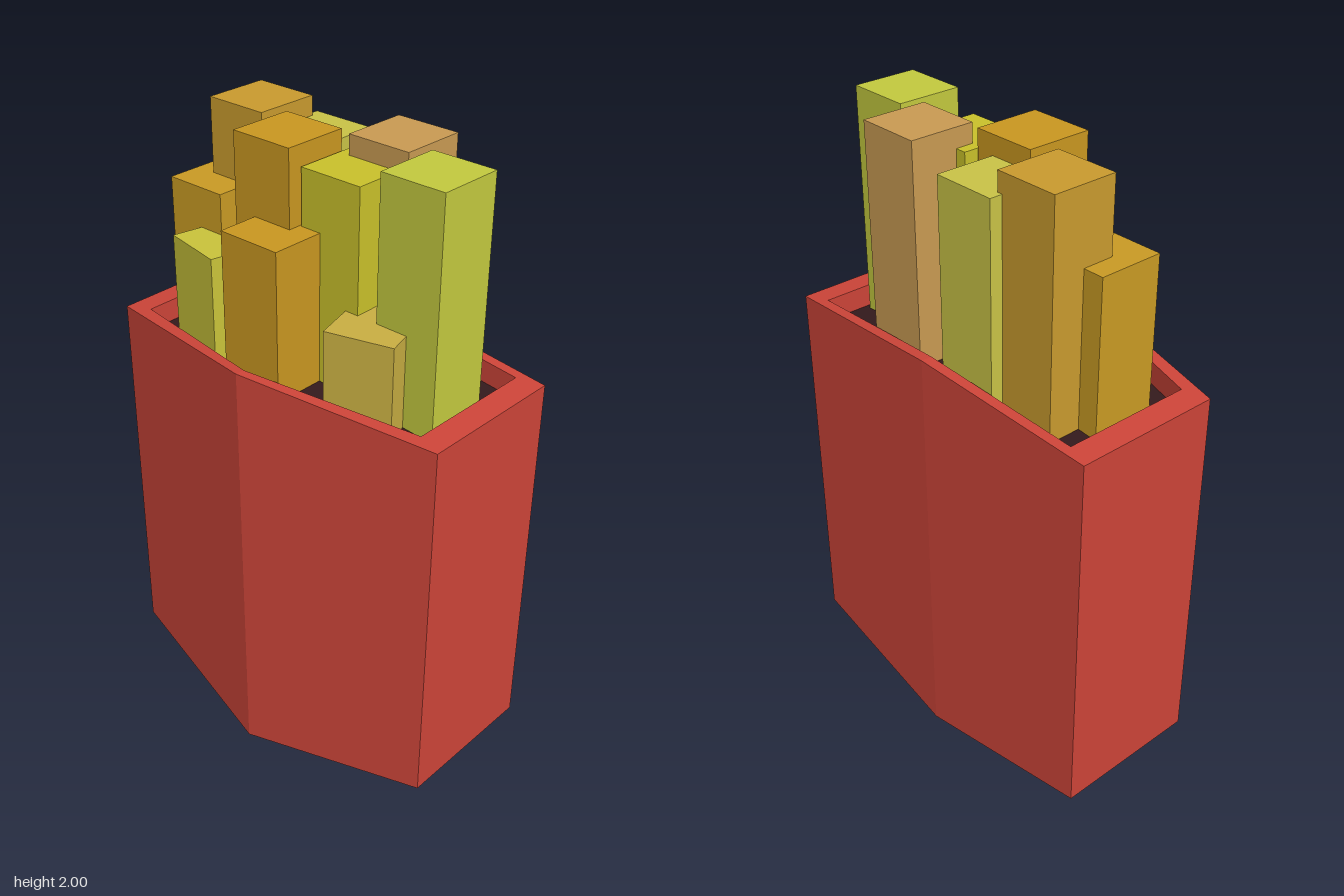
import * as THREE from 'three';

// Plan outlines (x, z), counter-clockwise seen from above
const OUTER = [[0.29, 0.62], [0.32, 0], [0.29, -0.62], [-0.195, -0.62], [-0.32, 0], [-0.195, 0.62]];
const INNER = [[0.26, 0.54], [0.285, 0], [0.26, -0.54], [-0.165, -0.54], [-0.29, 0], [-0.165, 0.54]];

// Heights bend linearly from the middle towards both ends
const rimY = z => 1.39 - 0.05 * Math.abs(z) / 0.62;
const baseY = z => 0.1 * Math.abs(z) / 0.62;
const floorY = z => rimY(z) - 0.07;

const ring = (outline, height) => outline.map(([x, z]) => [x, height(z), z]);

// Flat-shaded mesh from a list of four-cornered faces
function quadMesh(name, quads, color) {
  const positions = quads.flatMap(([a, b, c, d]) => [a, b, c, a, c, d].flat());
  const geometry = new THREE.BufferGeometry();
  geometry.setAttribute('position', new THREE.Float32BufferAttribute(positions, 3));
  geometry.computeVertexNormals();
  const mesh = new THREE.Mesh(geometry, new THREE.MeshStandardMaterial({ color }));
  mesh.name = name;
  return mesh;
}

// Band of faces joining two rings
const band = (a, b) => a.map((p, i) => {
  const j = (i + 1) % a.length;
  return [p, a[j], b[j], b[i]];
});

// Two faces closing a bent six-cornered ring
const cap = r => [[r[0], r[1], r[4], r[5]], [r[1], r[2], r[3], r[4]]];

export function createModel() {
  const model = new THREE.Group();
  model.name = 'boxOfFries';

  // Carton: outer walls, rim, inner walls and bent base
  const base = ring(OUTER, baseY);
  const rimOuter = ring(OUTER, rimY);
  const rimInner = ring(INNER, rimY);
  const floor = ring(INNER, floorY);
  model.add(quadMesh('carton', [
    ...band(base, rimOuter),
    ...band(rimOuter, rimInner),
    ...band(rimInner, floor),
    ...cap(base).map(q => q.reverse()),
  ], 0xcc4438));

  // Dark inside of the carton
  model.add(quadMesh('cartonInside', cap(floor), 0x331a1c));

  // Fries: centre x, centre z, top height, turn, colour
  const fries = [
    [0.015, 0.415, 2.0, 0, 0xc2c83e],
    [0.165, 0.175, 2.0, 0, 0xc89a52],
    [0.015, 0.14, 1.94, 0, 0xc8c02a],
    [0.165, -0.135, 1.94, 0, 0xc8c246],
    [-0.025, -0.075, 2.0, 0, 0xc89620],
    [0.125, -0.325, 2.0, 0, 0xc89a2e],
    [0.018, -0.392, 1.77, 0, 0xc89a24],
    [-0.155, 0, 1.77, 0, 0xc89620],
    [-0.09, 0.308, 1.57, 0.27, 0xc8ae42],
    [-0.1, -0.27, 1.645, -0.2, 0xc8c23a],
  ];
  const group = new THREE.Group();
  group.name = 'fries';
  const bottom = 1.22;
  for (const [x, z, top, turn, color] of fries) {
    const fry = new THREE.Mesh(
      new THREE.BoxGeometry(0.208, top - bottom, 0.208),
      new THREE.MeshStandardMaterial({ color }));
    fry.position.set(x, (top + bottom) / 2, z);
    fry.rotation.y = turn;
    fry.name = 'fry';
    group.add(fry);
  }
  model.add(group);
  return model;
}
